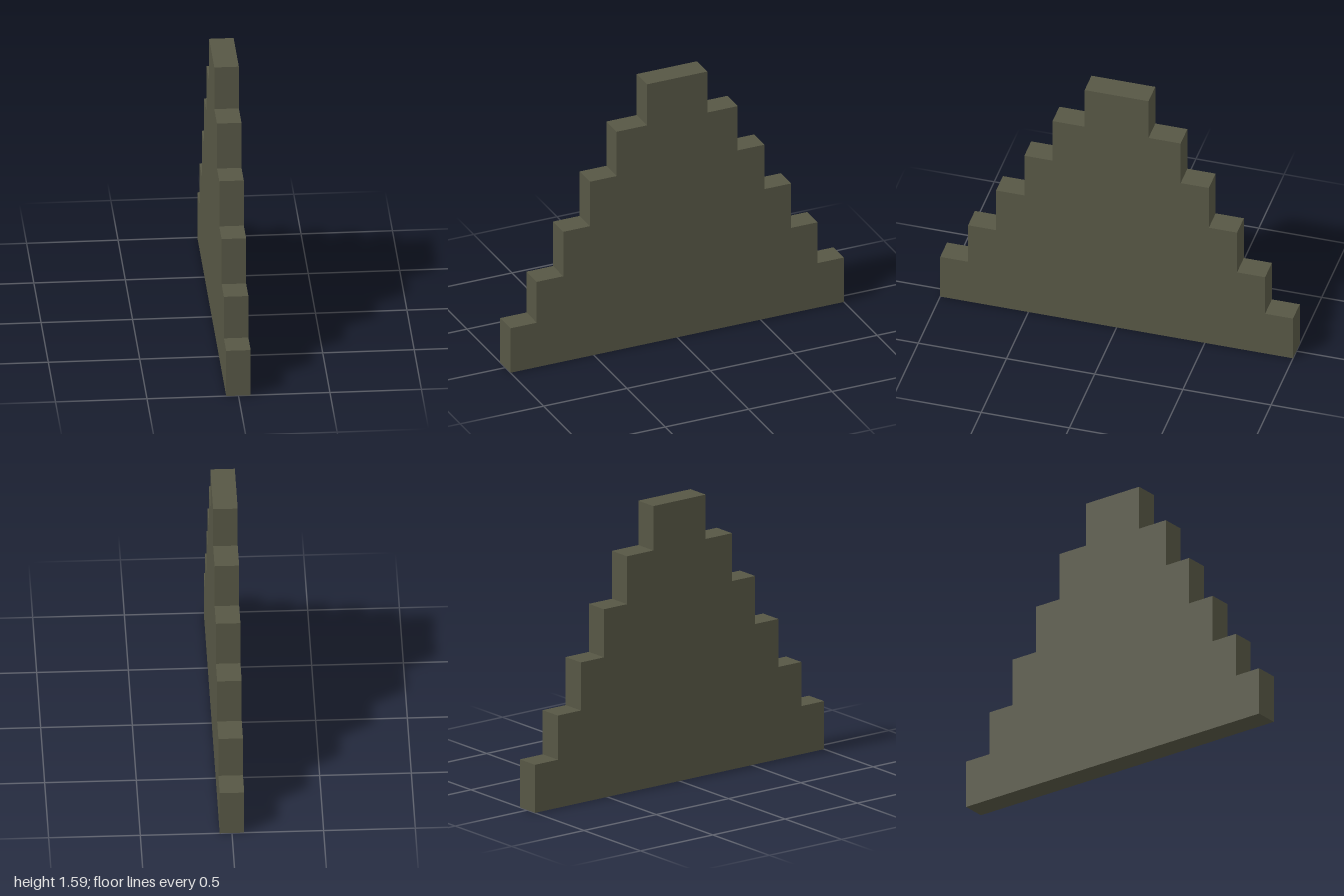
import * as THREE from 'three';

// Each step of the gable: [half length along z, top height]
const STEPS = [[1, 0.273], [0.842, 0.524], [0.683, 0.797], [0.523, 1.07], [0.363, 1.342], [0.181, 1.594]];
const THICKNESS = 0.134;

export function createModel() {
  const group = new THREE.Group();
  group.name = 'steppedGable';

  const stone = new THREE.MeshStandardMaterial({ color: 0x575745 });
  stone.name = 'dark olive stone';

  // Right half of the stepped outline, from the ground up
  const half = [];
  let y = 0;
  for (const [z, top] of STEPS) {
    half.push([z, y], [z, top]);
    y = top;
  }
  // Mirror it to close the outline
  const outline = [...half, ...half.map(([z, h]) => [-z, h]).reverse()];
  const shape = new THREE.Shape(outline.map(([z, h]) => new THREE.Vector2(z, h)));

  // Extrude through the wall thickness, then turn the length along z
  const geometry = new THREE.ExtrudeGeometry(shape, { depth: THICKNESS, bevelEnabled: false });
  geometry.translate(0, 0, -THICKNESS / 2);
  geometry.rotateY(-Math.PI / 2);

  const wall = new THREE.Mesh(geometry, stone);
  wall.name = 'steppedWall';
  group.add(wall);
  return group;
}
